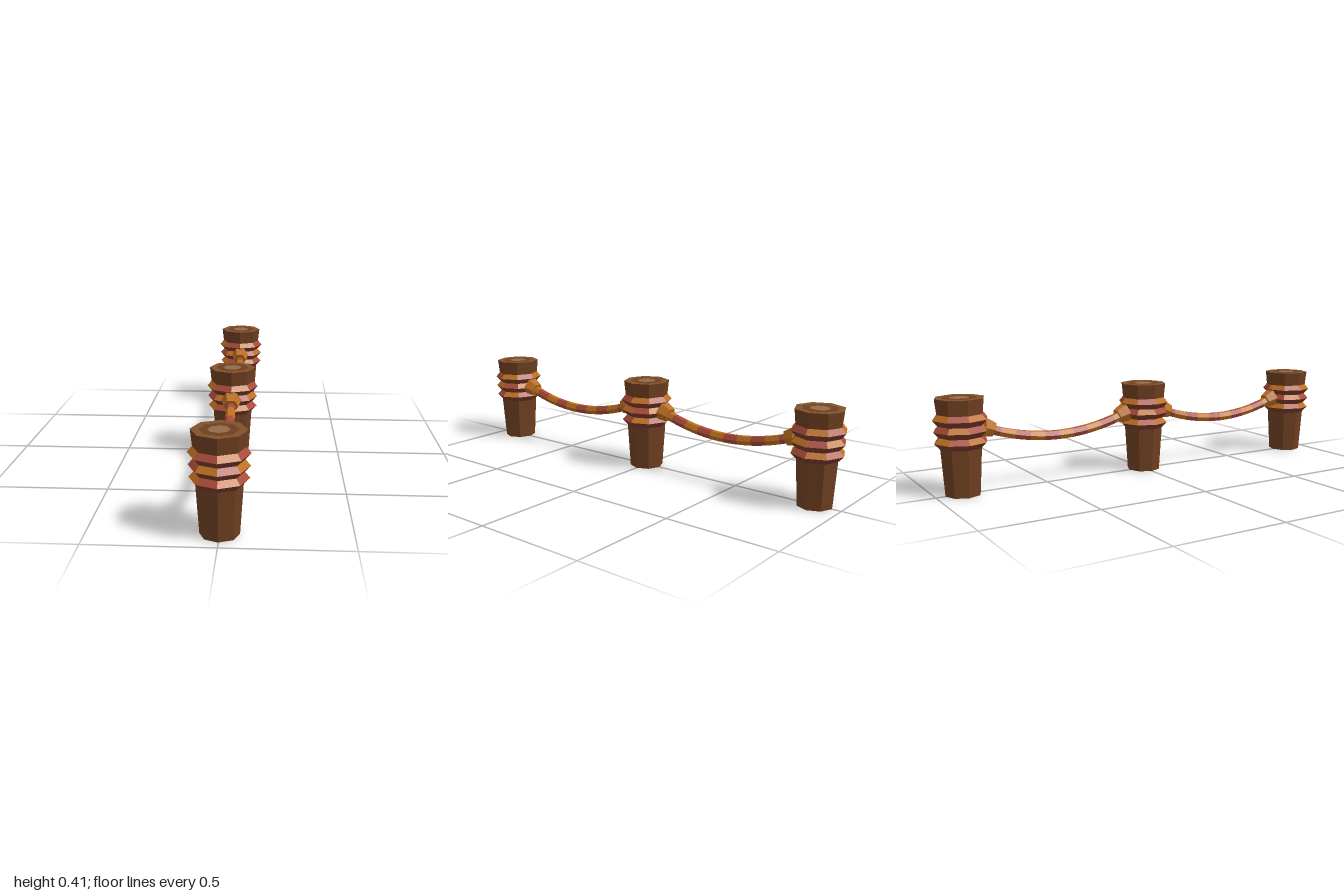
import * as THREE from 'three';
import { mergeGeometries } from 'three/addons/utils/BufferGeometryUtils.js';

const SIDES = 8;
const mat = (color) => new THREE.MeshStandardMaterial({ color, flatShading: true });
const bark = mat(0x6e3f20);
const rim = mat(0x80522a);
const heart = mat(0x946a48);
const orange = mat(0xbd6f20);
const red = mat(0xa84a38);
const underRed = mat(0x7c3b2a);

function mesh(name, geometry, material) {
  const m = new THREE.Mesh(geometry, material);
  m.name = name;
  return m;
}

// Flat octagonal growth ring on top of a post
function topRing(name, inner, outer, material) {
  const g = inner > 0 ? new THREE.RingGeometry(inner, outer, SIDES) : new THREE.CircleGeometry(outer, SIDES);
  const m = mesh(name, g.rotateX(-Math.PI / 2), material);
  m.position.y = 0.408;
  return m;
}

// Open band between two radii, optionally only one facet of it
function band(y0, r0, y1, r1, facet = -1) {
  const step = (Math.PI * 2) / SIDES;
  const one = facet >= 0;
  return new THREE.CylinderGeometry(r1, r0, y1 - y0, one ? 1 : SIDES, 1, true,
    one ? facet * step : 0, one ? step : Math.PI * 2).translate(0, (y0 + y1) / 2, 0);
}

function createPost() {
  const post = new THREE.Group();
  post.name = 'post';

  // Tapered trunk with open top
  const profile = [[0, 0], [0.076, 0], [0.089, 0.2], [0.098, 0.343], [0.105, 0.408]]
    .map(([r, y]) => new THREE.Vector2(r, y));
  post.add(mesh('trunk', new THREE.LatheGeometry(profile, SIDES), bark));

  // Growth rings
  post.add(topRing('topRim', 0.075, 0.105, rim));
  post.add(topRing('topMiddle', 0.042, 0.075, bark));
  post.add(topRing('topHeart', 0, 0.042, heart));

  // Rope wraps: checkered upper slopes, plain undersides
  const wraps = [
    [0.2, 0.089, 0.225, 0.113, 0.247, 0.092],
    [0.247, 0.092, 0.272, 0.115, 0.295, 0.095],
    [0.295, 0.095, 0.32, 0.117, 0.343, 0.098],
  ];
  const upper = [[], []];
  const lower = [];
  wraps.forEach(([y0, r0, y1, r1, y2, r2], w) => {
    lower.push(band(y0, r0, y1, r1));
    for (let i = 0; i < SIDES; i++) upper[(i + w) % 2].push(band(y1, r1, y2, r2, i));
  });
  post.add(mesh('wrapOrange', mergeGeometries(upper[0]), orange));
  post.add(mesh('wrapRed', mergeGeometries(upper[1]), red));
  post.add(mesh('wrapUnderside', mergeGeometries(lower), underRed));
  return post;
}

// Sagging rope between two posts, centred on z = 0
function createRope() {
  const rope = new THREE.Group();
  rope.name = 'rope';
  const half = 0.345, low = 0.208, sag = 0.066, pieces = 10;
  const yAt = (z) => low + sag * (z / half) ** 2;
  const point = (z) => new THREE.Vector3(0, yAt(z), z);

  // Alternating coloured lengths, each an exact piece of the parabola
  for (let i = 0; i < pieces; i++) {
    const a = -half + (2 * half * i) / pieces;
    const b = a + (2 * half) / pieces;
    const control = new THREE.Vector3(0, low + (sag * a * b) / half ** 2, (a + b) / 2);
    const curve = new THREE.QuadraticBezierCurve3(point(a), control, point(b));
    rope.add(mesh('ropeLength', new THREE.TubeGeometry(curve, 2, 0.022, 6), i % 2 ? orange : red));
  }

  // Knots where the rope meets the posts
  for (const s of [-1, 1]) {
    const knot = mesh('knot', new THREE.CylinderGeometry(0.046, 0.034, 0.05, 6), orange);
    knot.geometry.rotateY(Math.PI / 2).rotateX(Math.PI / 2);
    const z = s * 0.325;
    knot.position.set(0, yAt(z) + 0.004, z);
    knot.lookAt(0, yAt(z) + 0.004 + 0.35, z + s);
    rope.add(knot);
  }
  return rope;
}

export function createModel() {
  const model = new THREE.Group();
  model.name = 'ropeFence';
  const spacing = 0.883;
  for (const i of [-1, 0, 1]) {
    const post = createPost();
    post.position.z = i * spacing;
    model.add(post);
  }
  for (const s of [-1, 1]) {
    const rope = createRope();
    rope.position.z = (s * spacing) / 2;
    model.add(rope);
  }
  return model;
}
